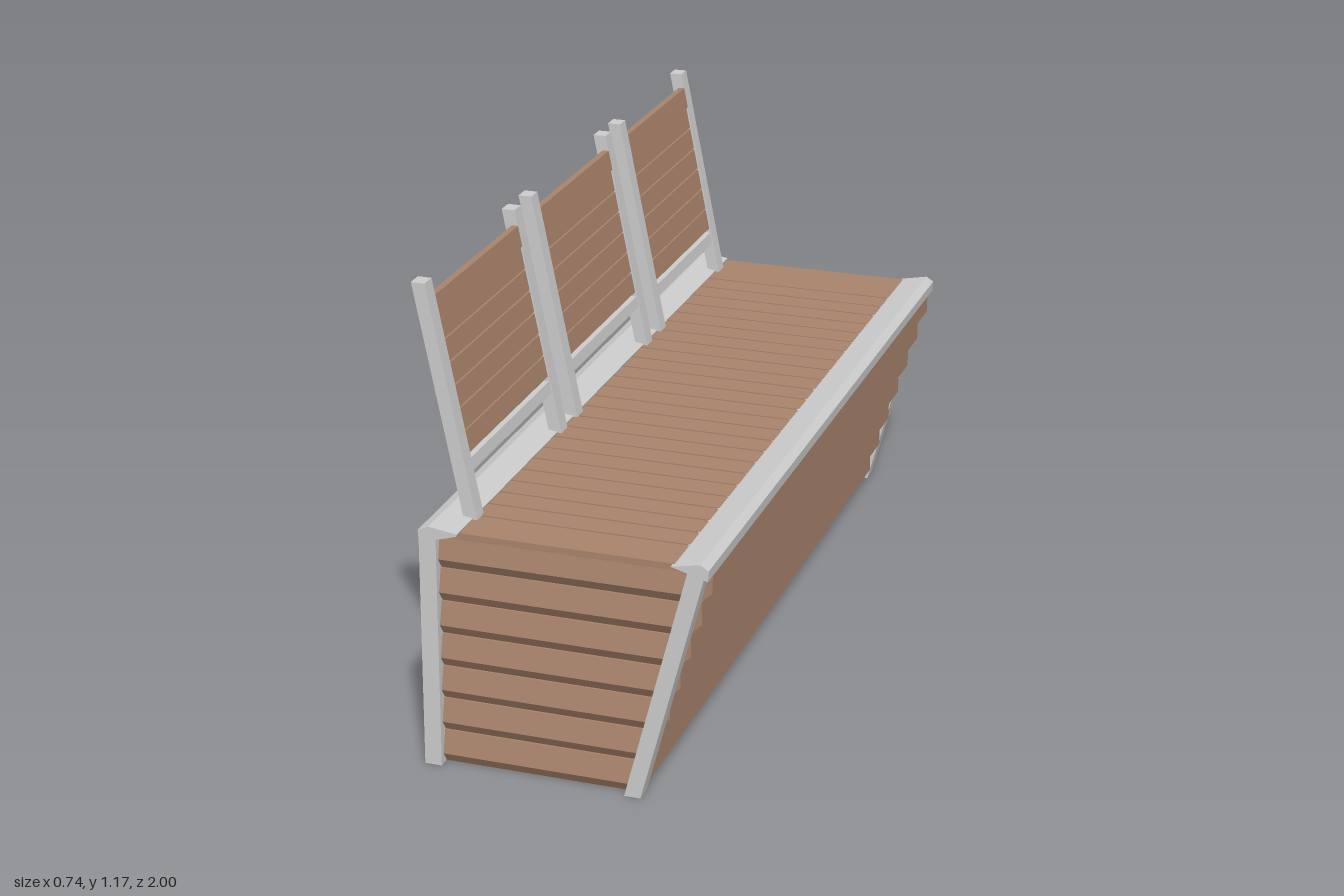
import * as THREE from 'three';

const grey = new THREE.MeshStandardMaterial({ color: 0xcccccc, flatShading: true });
const wood = new THREE.MeshStandardMaterial({ color: 0xa8836b, flatShading: true });

// Solid between two convex outlines with the same number of [x, y, z] corners
function loft(name, a, b, material, parent) {
  const n = a.length, tris = [];
  for (let i = 0; i < n; i++) {
    const j = (i + 1) % n;
    tris.push([a[i], a[j], b[j]], [a[i], b[j], b[i]]);
    if (i > 0 && i < n - 1) tris.push([a[0], a[j], a[i]], [b[0], b[i], b[j]]);
  }
  // Signed volume tells whether the corners run the right way round
  const v = (p) => new THREE.Vector3(...p);
  const volume = tris.reduce((s, t) => s + v(t[0]).dot(v(t[1]).cross(v(t[2]))), 0);
  if (volume < 0) tris.forEach((t) => t.reverse());
  const geometry = new THREE.BufferGeometry();
  geometry.setAttribute('position', new THREE.Float32BufferAttribute(tris.flat(2), 3));
  geometry.computeVertexNormals();
  const mesh = new THREE.Mesh(geometry, material);
  mesh.name = name;
  parent.add(mesh);
}

// Outline in x and y swept along z
function sweepZ(name, outline, z0, z1, material, parent) {
  loft(name, outline.map(([x, y]) => [x, y, z0]), outline.map(([x, y]) => [x, y, z1]), material, parent);
}

function group(name, parent) {
  const g = new THREE.Group();
  g.name = name;
  parent.add(g);
  return g;
}

const rect = (x0, x1, y0, y1) => [[x0, y0], [x1, y0], [x1, y1], [x0, y1]];
const frontX = (y) => 0.2 + 0.265 * y;          // outer line of the sloping front legs
const backX = (y) => -0.245 - 0.196 * (y - 0.605); // centre line of the leaning backrests

// Slanted bar of a backrest between two heights
const lean = (y0, y1, half, shift = 0) => [
  [backX(y0) - half + shift, y0], [backX(y0) + half + shift, y0],
  [backX(y1) + half + shift, y1], [backX(y1) - half + shift, y1]];

export function createModel() {
  const model = new THREE.Group();
  model.name = 'bench';

  // Corner legs
  const legs = group('legs', model);
  for (const s of [-1, 1]) {
    sweepZ('frontLeg', [[0.16, 0], [0.2, 0], [frontX(0.595), 0.595], [frontX(0.595) - 0.042, 0.595]],
      s * 0.955, s, grey, legs);
    sweepZ('rearLeg', [[-0.337, 0], [-0.295, 0], [-0.291, 0.6], [-0.333, 0.6]], s * 0.955, s, grey, legs);
  }

  // Peaked rails along the seat edges
  sweepZ('frontRail', [[0.275, 0.6], [0.345, 0.614], [0.365, 0.602], [0.363, 0.575], [0.318, 0.588]],
    -1, 1, grey, model);
  sweepZ('rearRail', [[-0.335, 0.602], [-0.308, 0.614], [-0.238, 0.604], [-0.24, 0.598], [-0.285, 0.585], [-0.333, 0.575]],
    -1, 1, grey, model);

  // Stepped boards on the sloping front
  const front = group('frontSiding', model);
  for (let i = 0; i < 7; i++) {
    const x = 0.36 - 0.0255 * i, y = 0.528 - 0.0835 * i;
    const top = y + 0.0565, low = Math.max(0, y - 0.027);
    sweepZ('frontBoard', [[x, top], [x, y], [x - 0.028, low], [x - 0.05, low], [x - 0.025, top]],
      -0.957, 0.957, wood, front);
  }

  // Stepped boards on both ends, cut along the front slope
  const ends = group('endSiding', model);
  for (const s of [-1, 1]) {
    for (let k = 0; k < 7; k++) {
      const y = k * 0.0838, top = k === 6 ? 0.597 : y + 0.0838;
      const profile = [[0.955, y], [0.97, y], [0.988, y + 0.026], [0.975, top], [0.955, top]];
      loft('endBoard', profile.map(([z, h]) => [-0.31, h, s * z]),
        profile.map(([z, h]) => [frontX(h) - 0.025, h, s * z]), wood, ends);
    }
  }

  // Spaced flat boards on the rear
  const rear = group('rearBoards', model);
  for (let k = 0; k < 7; k++) {
    const y = k * 0.0838;
    sweepZ('rearBoard', rect(-0.325, -0.305, y, y + 0.074), -0.957, 0.957, wood, rear);
  }

  // Seat slats, wider at both ends
  const seat = group('seat', model);
  const cuts = [-0.995];
  for (let k = 0; k < 25; k++) cuts.push(-0.83 + 0.0712 * k);
  cuts.push(0.988);
  for (let k = 0; k < cuts.length - 1; k++) {
    sweepZ('seatSlat', [[-0.285, 0.585], [0.325, 0.585], [0.29, 0.601], [-0.25, 0.601]],
      cuts[k] + 0.003, cuts[k + 1] - 0.003, wood, seat);
  }

  // Three leaning backrests: [z from, z to, height of the lower rail]
  const backs = [[0.317, 0.905, 0.705], [-0.32, 0.248, 0.705], [-0.93, -0.388, 0.685]];
  for (const [z0, z1, railY] of backs) {
    const back = group('backrest', model);
    const inner0 = z0 + 0.041, inner1 = z1 - 0.041;
    sweepZ('backPost', lean(0.6, 1.166, 0.0165), z0, inner0, grey, back);
    sweepZ('backPost', lean(0.6, 1.166, 0.0165), inner1, z1, grey, back);
    sweepZ('backLowerRail', lean(railY, railY + 0.03, 0.013), inner0, inner1, grey, back);
    const bottom = railY + 0.042, pitch = (1.131 - bottom) / 7;
    for (let k = 0; k < 7; k++) {
      const y = bottom + k * pitch;
      sweepZ('backSlat', lean(y, y + pitch - 0.004, 0.008, k === 6 ? 0.009 : 0.004),
        inner0, inner1, wood, back);
    }
  }
  return model;
}
